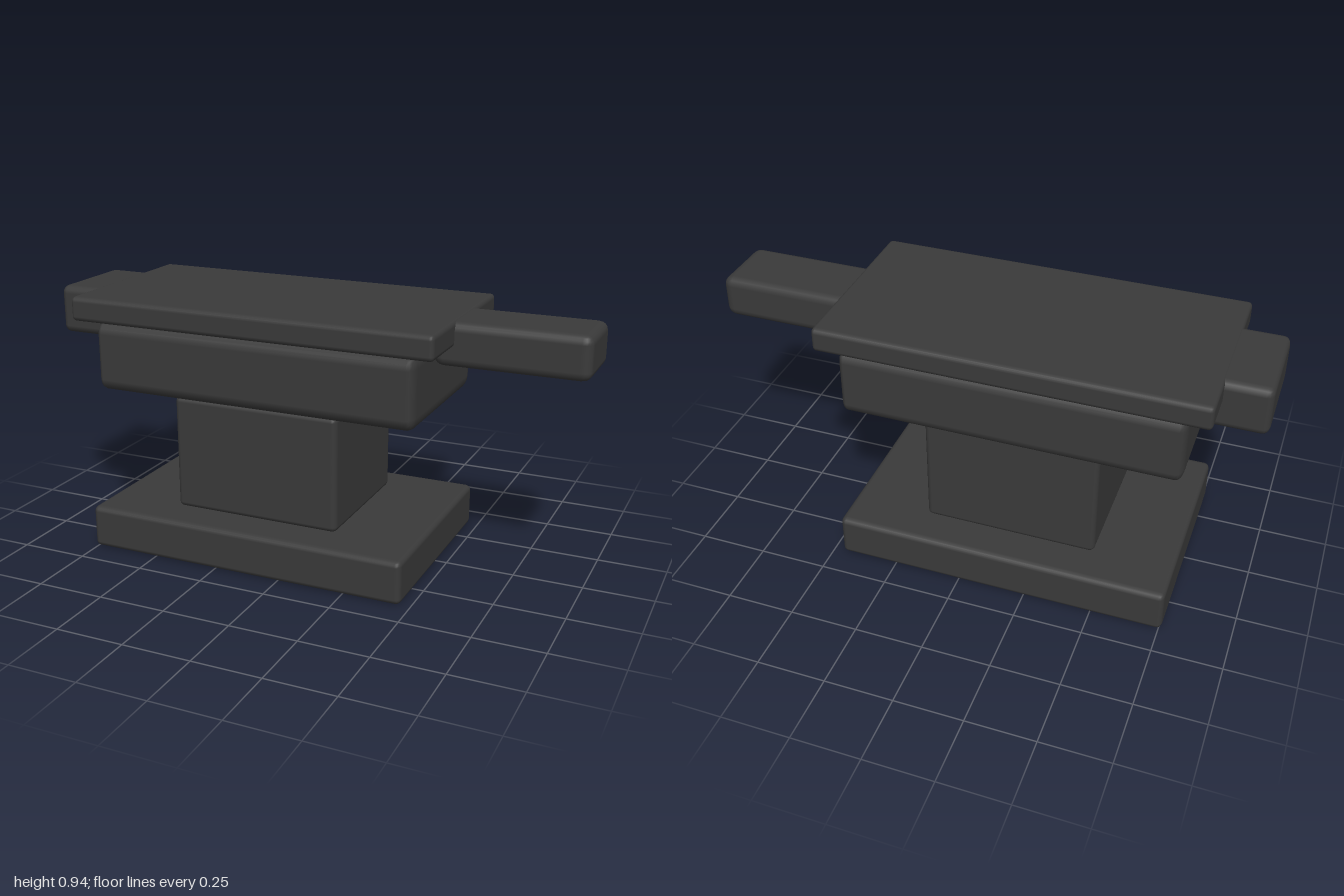
import * as THREE from 'three';
import { RoundedBoxGeometry } from 'three/addons/geometries/RoundedBoxGeometry.js';

// Box between two corners, with its own bevel width along each axis.
function bevelledBox(name, [x0, y0, z0], [x1, y1, z1], [bx, by, bz], material) {
  const geometry = new RoundedBoxGeometry((x1 - x0) / bx, (y1 - y0) / by, (z1 - z0) / bz, 2, 1);
  geometry.scale(bx, by, bz);
  const mesh = new THREE.Mesh(geometry, material);
  mesh.name = name;
  mesh.position.set((x0 + x1) / 2, (y0 + y1) / 2, (z0 + z1) / 2);
  return mesh;
}

export function createModel() {
  const iron = new THREE.MeshStandardMaterial({ color: 0x3a3a3a });
  iron.name = 'dark iron';

  const anvil = new THREE.Group();
  anvil.name = 'anvil';

  // name, lower corner, upper corner, bevel
  const parts = [
    ['base', [-0.76, 0, -0.4], [0.465, 0.16, 0.4], [0.02, 0.02, 0.025]],
    ['waist', [-0.47, 0.16, -0.265], [0.17, 0.59, 0.265], [0.02, 0.02, 0.025]],
    ['body', [-0.76, 0.59, -0.32], [0.465, 0.85, 0.32], [0.025, 0.045, 0.05]],
    ['face', [-0.84, 0.85, -0.345], [0.54, 0.94, 0.345], [0.015, 0.018, 0.02]],
    ['horn', [0.465, 0.778, -0.13], [1, 0.935, 0.13], [0.035, 0.032, 0.03]],
    ['heel', [-1, 0.755, -0.185], [-0.7, 0.935, 0.18], [0.025, 0.028, 0.03]],
  ];
  for (const part of parts) anvil.add(bevelledBox(...part, iron));
  return anvil;
}
